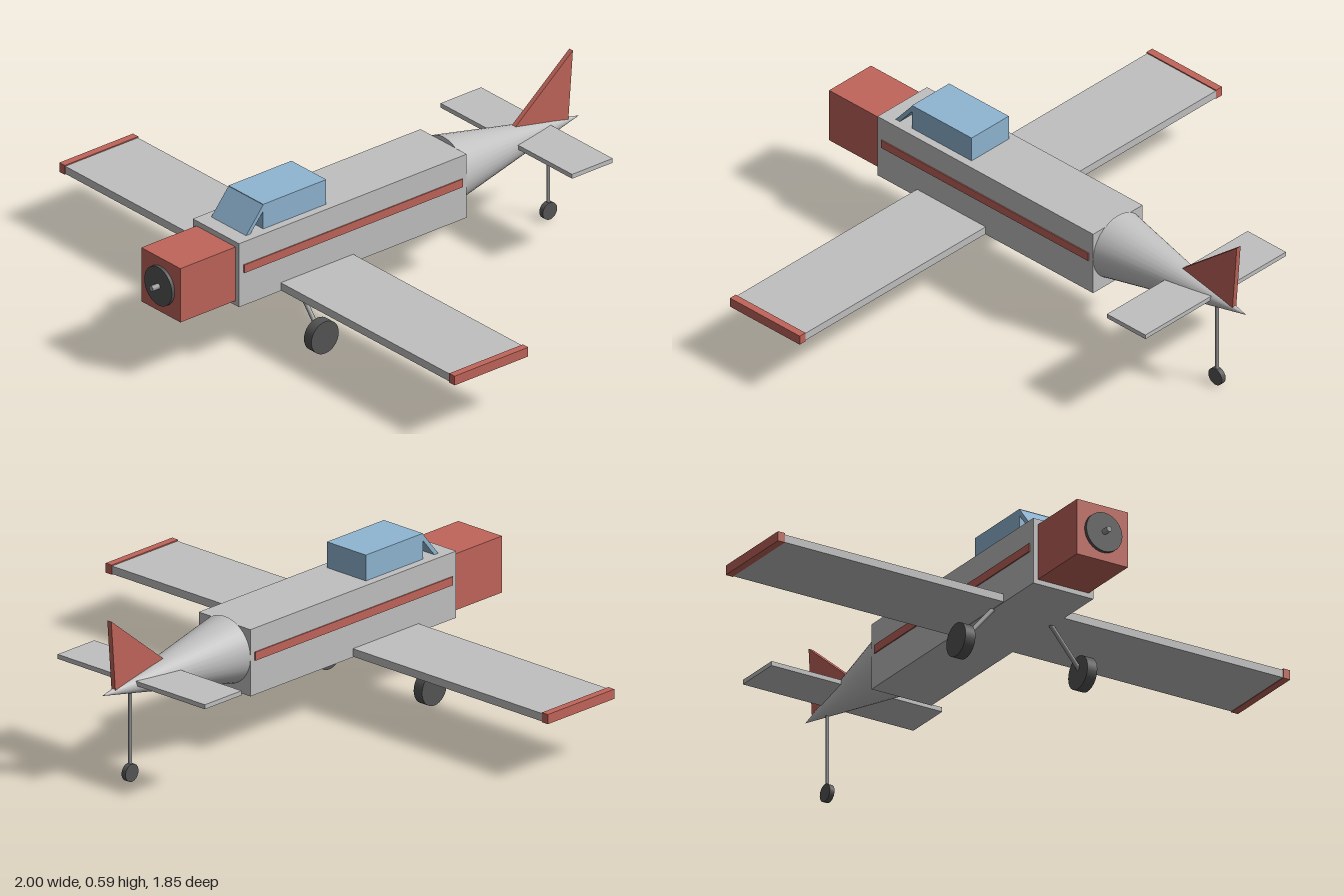
import * as THREE from 'three';

export function createModel() {
  const model = new THREE.Group();
  model.name = 'airplane';

  const mat = (name, color) => {
    const m = new THREE.MeshStandardMaterial({ color });
    m.name = name;
    return m;
  };
  const grey = mat('bodyGrey', 0xc0c0c0);
  const red = mat('trimRed', 0xc0655a);
  const blue = mat('glassBlue', 0x8fb5d2);
  const dark = mat('rubberDark', 0x555555);
  const metal = mat('strutMetal', 0x999999);

  const add = (name, geometry, material) => {
    const mesh = new THREE.Mesh(geometry, material);
    mesh.name = name;
    model.add(mesh);
    return mesh;
  };
  // Box given by its limits on each axis
  const box = (name, material, [x0, x1], [y0, y1], [z0, z1]) =>
    add(name, new THREE.BoxGeometry(x1 - x0, y1 - y0, z1 - z0), material)
      .position.set((x0 + x1) / 2, (y0 + y1) / 2, (z0 + z1) / 2);
  // Round rod between two points
  const rod = (name, material, a, b, r) => {
    const from = new THREE.Vector3(...a), to = new THREE.Vector3(...b);
    const dir = to.clone().sub(from);
    const mesh = add(name, new THREE.CylinderGeometry(r, r, dir.length(), 32), material);
    mesh.position.copy(from).add(to).multiplyScalar(0.5);
    mesh.quaternion.setFromUnitVectors(new THREE.Vector3(0, 1, 0), dir.normalize());
  };
  // Side profile of [z, y] points, extruded across x
  const profile = (name, material, points, width) => {
    const shape = new THREE.Shape(points.map(([z, y]) => new THREE.Vector2(-z, y)));
    const g = new THREE.ExtrudeGeometry(shape, { depth: width, bevelEnabled: false });
    g.translate(0, 0, -width / 2).rotateY(Math.PI / 2);
    add(name, g, material);
  };

  // Fuselage, cowling and tail cone
  box('fuselage', grey, [-0.117, 0.117], [0.202, 0.437], [-0.338, 0.645]);
  box('engineCowling', red, [-0.099, 0.099], [0.219, 0.418], [0.645, 0.883]);
  const cone = new THREE.ConeGeometry(0.117, 0.585, 32).rotateX(-Math.PI / 2);
  add('tailCone', cone, grey).position.set(0, 0.337, -0.6305);

  // Propeller hub and shaft
  rod('propellerHub', dark, [0, 0.318, 0.88], [0, 0.318, 0.895], 0.07);
  rod('propellerShaft', metal, [0, 0.318, 0.89], [0, 0.318, 0.925], 0.01);

  // Canopy and its sloping windshield plate
  box('canopy', blue, [-0.088, 0.088], [0.43, 0.528], [0.244, 0.516]);
  profile('windshield', blue,
    [[0.592, 0.435], [0.516, 0.526], [0.516, 0.503], [0.573, 0.435]], 0.176);

  // Wings, tips, side stripes and main wheels, mirrored
  for (const s of [1, -1]) {
    const side = s > 0 ? 'left' : 'right';
    const span = (a, b) => (s > 0 ? [a, b] : [-b, -a]);
    box(side + 'Wing', grey, span(0.0, 0.975), [0.204, 0.232], [0.152, 0.465]);
    box(side + 'WingTip', red, span(0.973, 1), [0.202, 0.236], [0.15, 0.468]);
    box(side + 'Stripe', red, span(0.115, 0.121), [0.323, 0.353], [-0.318, 0.625]);
    rod(side + 'GearStrut', metal, [s * 0.11, 0.21, 0.393], [s * 0.235, 0.06, 0.393], 0.008);
    rod(side + 'Wheel', dark, [s * 0.219, 0.06, 0.393], [s * 0.257, 0.06, 0.393], 0.059);
  }

  // Tailplane and triangular fin
  box('tailplane', grey, [-0.333, 0.333], [0.34, 0.356], [-0.784, -0.609]);
  profile('tailFin', red, [[-0.576, 0.34], [-0.869, 0.34], [-0.889, 0.592]], 0.018);

  // Tail wheel
  rod('tailStrut', metal, [0, 0.03, -0.79], [0, 0.335, -0.79], 0.006);
  rod('tailWheel', dark, [-0.009, 0.031, -0.79], [0.009, 0.031, -0.79], 0.031);

  return model;
}
